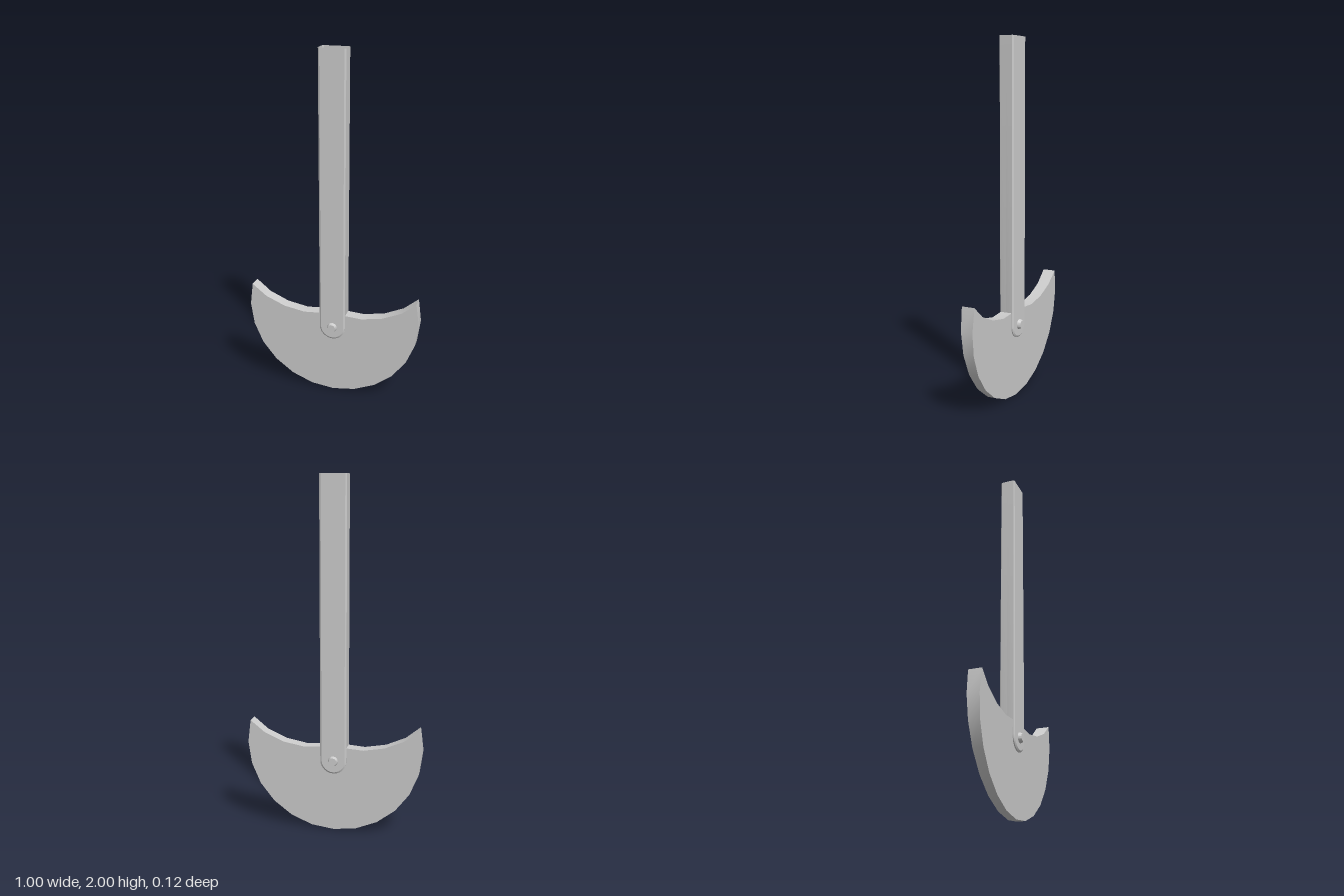
import * as THREE from 'three';
import { toCreasedNormals } from 'three/addons/utils/BufferGeometryUtils.js';

const PIVOT_Y = 0.42;
const TOP_Y = 2;

const material = new THREE.MeshStandardMaterial({ color: 0xcccccc });
const thinMaterial = new THREE.MeshStandardMaterial({ color: 0xcccccc, side: THREE.DoubleSide });

function addMesh(parent, name, geometry, mat = material) {
  const mesh = new THREE.Mesh(geometry, mat);
  mesh.name = name;
  parent.add(mesh);
  return mesh;
}

// Crescent blade: circular lower edge, concave upper edge, thinner towards the bottom
function bladeGeometry() {
  const points = [];
  for (let deg = -105; deg <= 105; deg += 15) {
    const a = THREE.MathUtils.degToRad(deg);
    points.push(new THREE.Vector2(0.5 * Math.sin(a), 0.5 - 0.5 * Math.cos(a)));
  }
  const upper = [[0.4, 0.562], [0.29, 0.514], [0.17, 0.492], [0.06, 0.5]];
  upper.forEach(([x, y]) => points.push(new THREE.Vector2(x, y)));
  upper.reverse().forEach(([x, y]) => points.push(new THREE.Vector2(-x, y)));

  const geometry = new THREE.ExtrudeGeometry(new THREE.Shape(points), { depth: 2, bevelEnabled: false });
  geometry.translate(0, 0, -1);
  const p = geometry.attributes.position;
  for (let i = 0; i < p.count; i++) p.setZ(i, p.getZ(i) * (0.022 + 0.024 * p.getY(i)));
  return toCreasedNormals(geometry, Math.PI / 6);
}

// Long strip outline with a round lower end, open at the top
function stripOutline(radius) {
  const points = [new THREE.Vector2(radius, TOP_Y)];
  for (let i = 0; i <= 12; i++) {
    const a = -Math.PI * i / 12;
    points.push(new THREE.Vector2(radius * Math.cos(a), PIVOT_Y + radius * Math.sin(a)));
  }
  points.push(new THREE.Vector2(-radius, TOP_Y));
  return points;
}

// Side wall and bevel running around the strip outline
function rimGeometry() {
  const loops = [[0.075, 0], [0.075, 0.037], [0.066, 0.0425]];
  const count = stripOutline(1).length;
  const positions = [];
  const index = [];
  loops.forEach(([radius, z]) => stripOutline(radius).forEach((p) => positions.push(p.x, p.y, z)));
  for (let k = 0; k < loops.length - 1; k++) {
    for (let i = 0; i < count - 1; i++) {
      const a = k * count + i;
      const c = a + count;
      index.push(a, c, a + 1, a + 1, c, c + 1);
    }
  }
  const geometry = new THREE.BufferGeometry();
  geometry.setAttribute('position', new THREE.Float32BufferAttribute(positions, 3));
  geometry.setIndex(index);
  return toCreasedNormals(geometry, Math.PI / 6);
}

export function createModel() {
  const model = new THREE.Group();
  model.name = 'pivotingBlade';

  addMesh(model, 'blade', bladeGeometry());

  // Hollow handle and pin heads, one half on each side of the blade
  const faceGeometry = new THREE.ShapeGeometry(new THREE.Shape(stripOutline(0.066)));
  const rim = rimGeometry();
  const pinGeometry = toCreasedNormals(new THREE.CylinderGeometry(0.023, 0.031, 0.026, 16), Math.PI / 6);
  pinGeometry.rotateX(Math.PI / 2);
  for (const side of ['front', 'back']) {
    const half = new THREE.Group();
    half.name = side + 'Half';
    half.rotation.y = side === 'front' ? 0 : Math.PI;
    addMesh(half, side + 'HandleFace', faceGeometry, thinMaterial).position.z = 0.0425;
    addMesh(half, side + 'HandleRim', rim, thinMaterial);
    addMesh(half, side + 'PinHead', pinGeometry).position.set(0, PIVOT_Y, 0.048);
    model.add(half);
  }
  return model;
}
